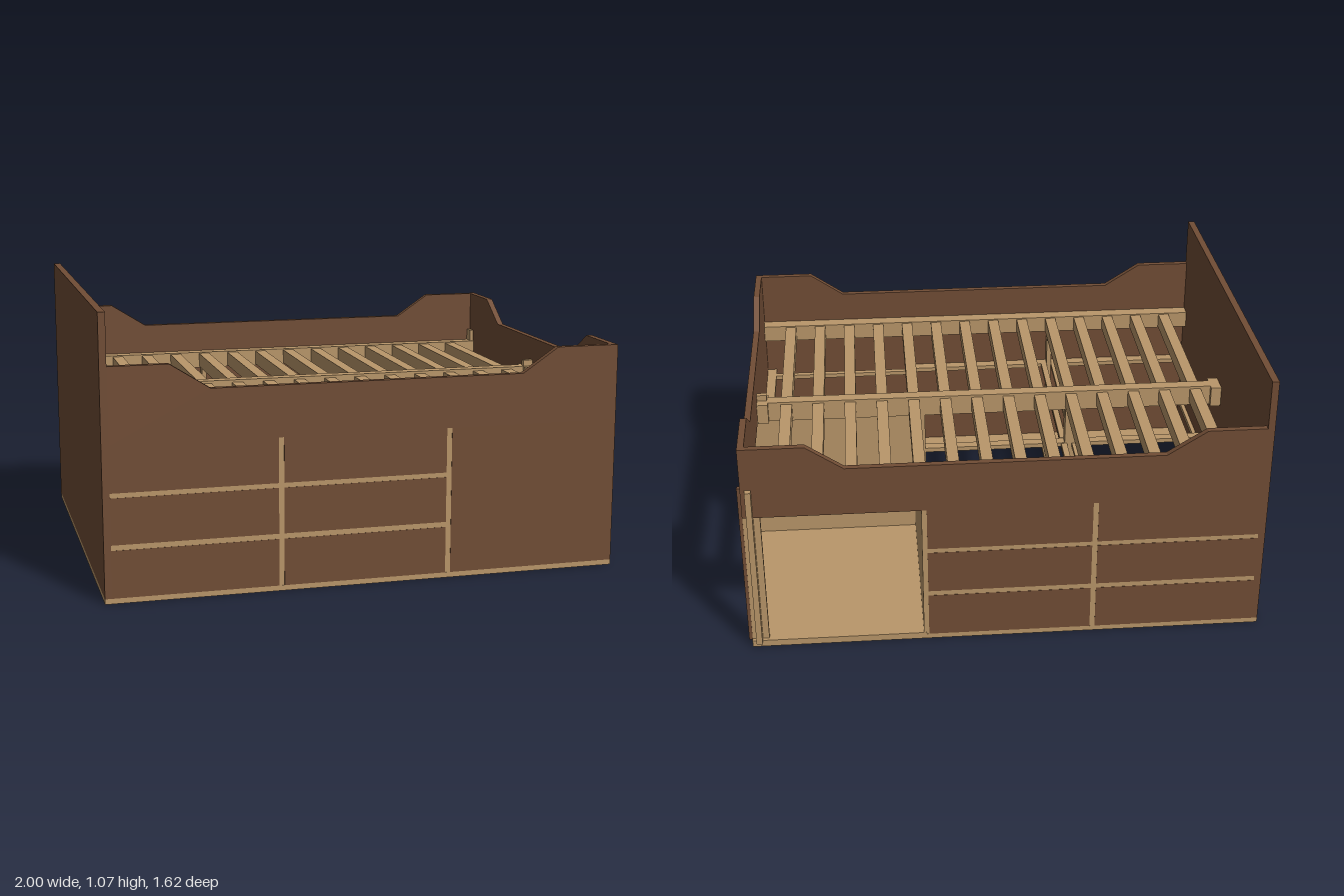
import * as THREE from 'three';

export function createModel() {
  const model = new THREE.Group();
  model.name = 'storageBed';
  const brown = new THREE.MeshStandardMaterial({ color: 0x714d35 });
  brown.name = 'brownPanel';
  const tan = new THREE.MeshStandardMaterial({ color: 0xba976a });
  tan.name = 'paleTimber';

  // Box given by its limits on each axis
  function box(name, mat, x0, x1, y0, y1, z0, z1) {
    const m = new THREE.Mesh(new THREE.BoxGeometry(x1 - x0, y1 - y0, z1 - z0), mat);
    m.position.set((x0 + x1) / 2, (y0 + y1) / 2, (z0 + z1) / 2);
    m.name = name;
    model.add(m);
    return m;
  }

  // Upright board with a dipped top edge, drawn in (u, y)
  function dippedBoard(name, pts, depth) {
    const shape = new THREE.Shape(pts.map(p => new THREE.Vector2(p[0], p[1])));
    const geo = new THREE.ExtrudeGeometry(shape, { depth, bevelEnabled: false });
    const m = new THREE.Mesh(geo, brown);
    m.name = name;
    model.add(m);
    return m;
  }

  const baseTop = 0.02, open = 0.585, high = 0.875, low = 0.78;
  const bands = [[baseTop, 0.2], [0.22, 0.395], [0.413, open]];
  const gaps = [[0.2, 0.22], [0.395, 0.413]];

  // Base frame: perimeter and cross bars
  for (const [z0, z1] of [[-0.79, -0.705], [-0.02, 0.03], [0.71, 0.81]])
    box('baseLongBar', tan, -1, 0.985, 0, baseTop, z0, z1);
  for (const [x0, x1] of [[-1, -0.955], [-0.38, -0.305], [0.285, 0.325], [0.895, 0.985]])
    for (const [z0, z1] of [[-0.705, -0.02], [0.03, 0.71]])
      box('baseCrossBar', tan, x0, x1, 0, baseTop, z0, z1);

  // Headboard
  box('headboard', brown, -1, -0.973, baseTop, 1.07, -0.79, 0.81);

  // Long sides: dipped upper board over drawer fronts
  const sideTop = [[-0.973, open], [0.985, open], [0.985, high], [0.74, high],
    [0.6, low], [-0.6, low], [-0.75, high], [-0.973, high]];
  for (const z0 of [0.785, -0.79]) {
    const z1 = z0 + 0.025;
    dippedBoard('sideBoard', sideTop, 0.025).position.z = z0;
    for (const [x0, x1] of [[-0.973, -0.35], [-0.33, 0.3]])
      for (const [y0, y1] of bands) box('drawerFront', brown, x0, x1, y0, y1, z0, z1);
  }
  box('sideEndPanel', brown, 0.32, 0.985, baseTop, open, 0.785, 0.81);

  // Footboard: dipped upper board and its drawer fronts
  const footTop = [[-0.81 + 0.025, open], [0, open], [0.765, open], [0.765, high], [0.545, high],
    [0.4, low], [-0.42, low], [-0.57, high], [-0.785, high]];
  const foot = dippedBoard('footboard', footTop, 0.025);
  foot.rotation.y = Math.PI / 2;
  foot.position.x = 0.96;
  for (const [y0, y1] of bands) box('footDrawerFront', brown, 0.96, 0.985, y0, y1, 0.022, 0.785);

  // Uprights and rails seen in the gaps between drawer fronts
  for (const [z0, z1] of [[0.74, 0.809], [-0.789, -0.72]]) {
    for (const [x0, x1] of [[-0.35, -0.33], [0.3, 0.32]])
      box('drawerUpright', tan, x0, x1, baseTop, open, z0, z1);
    for (const [y0, y1] of gaps)
      for (const [x0, x1] of [[-0.973, -0.35], [-0.33, 0.3]])
        box('drawerRail', tan, x0, x1, y0, y1, z0, z1);
  }
  box('footUpright', tan, 0.92, 0.986, baseTop, 0.685, 0, 0.022);
  for (const [y0, y1] of gaps) box('footDrawerRail', tan, 0.92, 0.984, y0, y1, 0.022, 0.785);

  // Drawer runners and inner posts
  for (const [y0, y1] of gaps) {
    for (const [z0, z1] of [[-0.72, -0.02], [0.03, 0.74]])
      for (const [x0, x1] of [[-0.972, -0.955], [-0.38, -0.35], [-0.33, -0.305], [0.28, 0.3]])
        box('drawerRunner', tan, x0, x1, y0, y1, z0, z1);
    for (const [z0, z1] of [[0.02, 0.05], [0.715, 0.74]])
      box('footDrawerRunner', tan, 0.32, 0.92, y0, y1, z0, z1);
    box('middleRail', tan, -0.973, 0.3, y0, y1, -0.015, 0.025);
  }
  for (const x of [-0.34, 0.3]) box('middlePost', tan, x - 0.03, x + 0.02, baseTop, open, -0.02, 0.03);

  // Corner nook: floor and two inner walls
  box('nookFloor', tan, 0.31, 0.985, 0.012, 0.027, -0.79, 0.01);
  box('nookInnerWall', tan, 0.3, 0.32, baseTop, open, -0.785, 0);
  box('nookSideWall', tan, 0.32, 0.96, baseTop, open, 0, 0.02);

  // Corner post of the nook
  box('cornerPostFace', brown, 0.985, 0.998, 0.025, 0.705, -0.777, -0.757);
  box('cornerPostWeb', tan, 0.92, 0.985, 0.025, 0.585, -0.775, -0.757);
  box('cornerPostTimber', tan, 0.945, 0.968, 0.025, 0.705, -0.813, -0.72);

  // Bed platform: side rails, middle beam, end blocks, slats
  box('platformRail', tan, -0.973, 0.96, open, 0.655, -0.765, -0.712);
  box('platformRail', tan, -0.973, 0.96, open, 0.655, 0.728, 0.785);
  box('middleBeam', tan, -0.973, 0.96, 0.575, 0.66, -0.02, 0.03);
  for (const [x0, x1] of [[-0.973, -0.93], [0.915, 0.96]])
    for (const [z0, z1] of [[-0.04, -0.02], [0.03, 0.052]])
      box('beamBlock', tan, x0, x1, 0.575, 0.66, z0, z1);
  for (let i = 0; i < 14; i++) {
    const x = -0.866 + 0.1312 * i;
    for (const [z0, z1] of [[-0.715, -0.02], [0.03, 0.73]])
      box('slat', tan, x - 0.023, x + 0.023, 0.59, 0.65, z0, z1);
  }
  return model;
}
